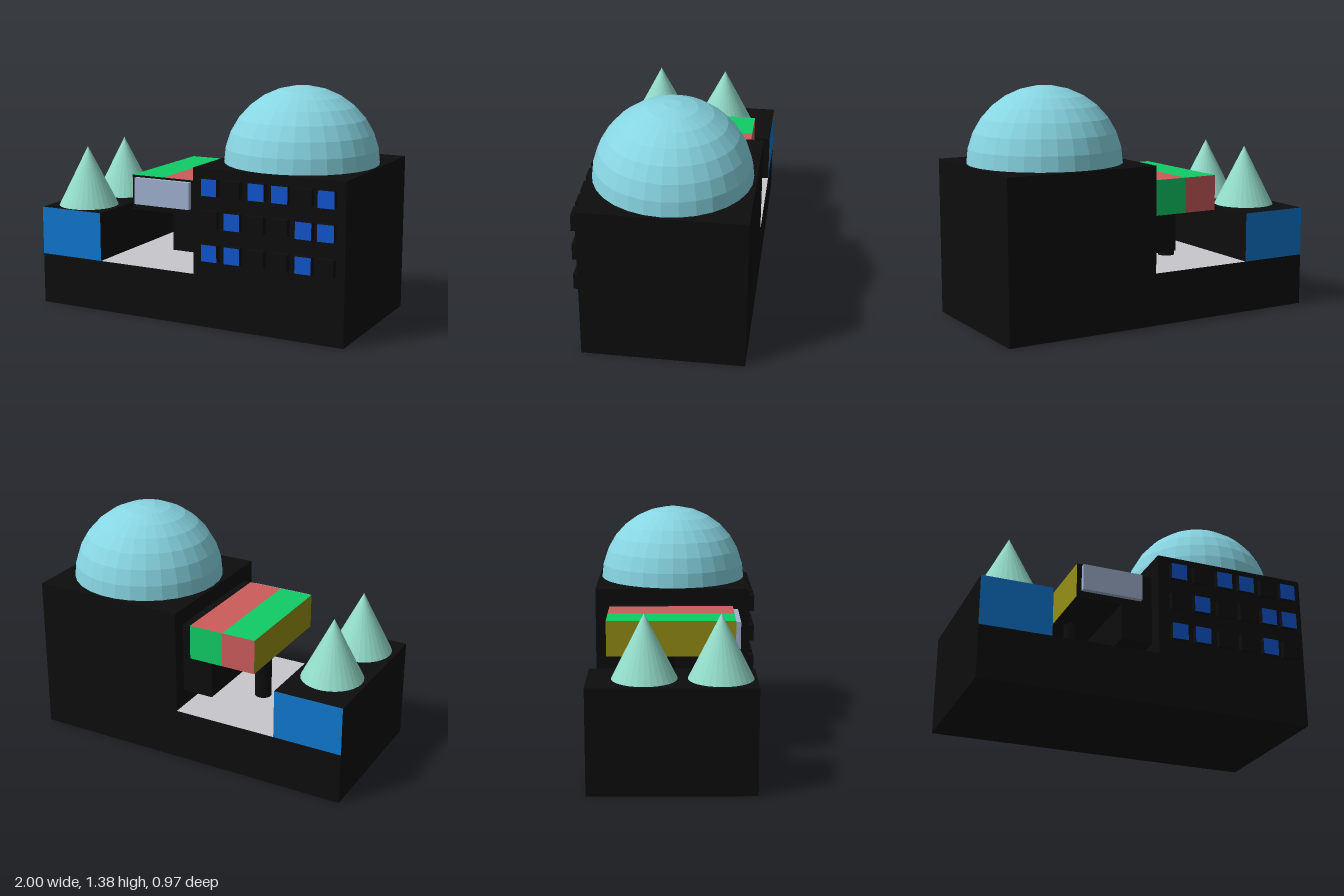
import * as THREE from 'three';

const mat = (name, color, flatShading = false) => {
  const m = new THREE.MeshStandardMaterial({ color, flatShading });
  m.name = name;
  return m;
};

export function createModel() {
  const model = new THREE.Group();
  model.name = 'building';

  const black = mat('black', 0x0d0d0d);
  const blue = mat('wall blue', 0x1078cf);
  const windowBlue = mat('window blue', 0x1155cf);
  const green = mat('green', 0x10cc66);
  const red = mat('red', 0xcd5c5c);
  const olive = mat('olive', 0x948e14);
  const grey = mat('floor grey', 0xc8c8cc);
  const signBlue = mat('sign pale blue', 0xa0b2d0);
  const domeBlue = mat('dome blue', 0x87d5e2, true);
  const mint = mat('cone mint', 0x93dcca, true);

  const add = (name, geometry, material, x, y, z) => {
    const mesh = new THREE.Mesh(geometry, material);
    mesh.name = name;
    mesh.position.set(x, y, z);
    model.add(mesh);
    return mesh;
  };
  // Box from its limits; material may be a list in the order +x -x +y -y +z -z
  const box = (name, material, [x0, x1], [y0, y1], [z0, z1]) =>
    add(name, new THREE.BoxGeometry(x1 - x0, y1 - y0, z1 - z0), material,
      (x0 + x1) / 2, (y0 + y1) / 2, (z0 + z1) / 2);

  const depth = [-0.487, 0.45];

  // Base with a grey courtyard, and the two blocks standing on it
  box('base', [black, black, grey, black, black, black], [-1, 1], [0, 0.31], depth);
  box('mainBlock', black, [0.06, 1], [0.31, 0.938], depth);
  box('sideBlock', [black, black, black, black, blue, blue], [-1, -0.58], [0.31, 0.605], depth);

  // Faceted dome: rings every 12 degrees with a small flat cap
  const r = 0.456;
  const profile = [];
  for (let a = 90; a >= 6; a -= 12) {
    const t = THREE.MathUtils.degToRad(a);
    profile.push(new THREE.Vector2(r * Math.sin(t), r * Math.cos(t)));
  }
  profile.push(new THREE.Vector2(0, r * Math.cos(Math.PI / 30)));
  add('dome', new THREE.LatheGeometry(profile, 30, Math.PI / 2), domeBlue, 0.53, 0.93, -0.015);

  // Cones on the side block
  for (const z of [-0.17, 0.25]) {
    add('cone', new THREE.ConeGeometry(0.183, 0.365, 30, 1, false, Math.PI / 2), mint, -0.792, 0.7875, z);
  }

  // Bridge: two painted halves, a black link to the main block and its support
  const bridgeY = [0.63, 0.84], bridgeZ = [-0.4, 0.35];
  box('bridgeOuterHalf', [black, olive, green, black, black, red], [-0.408, -0.198], bridgeY, bridgeZ);
  box('bridgeInnerHalf', [black, black, red, black, black, green], [-0.198, 0.014], bridgeY, bridgeZ);
  box('bridgeLink', black, [0.014, 0.06], bridgeY, bridgeZ);
  box('bridgeSupport', black, [-0.13, 0.06], [0.41, 0.63], bridgeZ);
  box('sign', signBlue, [-0.378, -0.01], [0.668, 0.828], [0.35, 0.38]);
  add('pillar', new THREE.CylinderGeometry(0.05, 0.05, 0.32, 30), black, -0.29, 0.47, -0.05);

  // Protruding windows; those marked 1 have a lit front face
  const columns = [0.18, 0.325, 0.475, 0.62, 0.765, 0.898];
  const rows = [[0.835, '101101'], [0.648, '010011'], [0.452, '110010']];
  const lit = [black, black, black, black, windowBlue, black];
  const h = 0.049;
  for (const [y, pattern] of rows) {
    columns.forEach((x, i) => {
      const on = pattern[i] === '1';
      box(on ? 'litWindow' : 'darkWindow', on ? lit : black,
        [x - h, x + h], [y - h, y + h], [0.45, 0.487]);
    });
  }

  return model;
}
